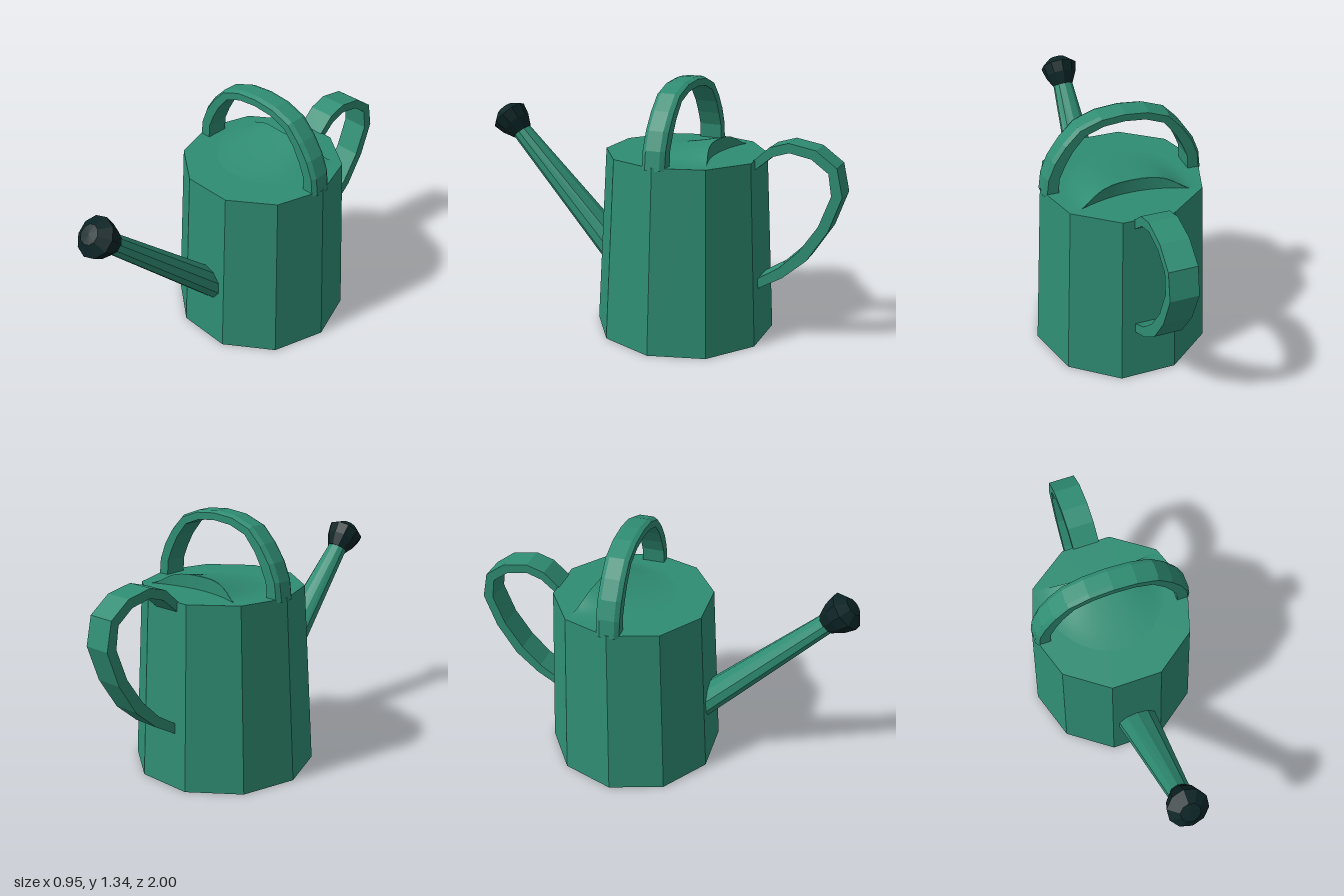
import * as THREE from 'three';

const green = new THREE.MeshStandardMaterial({ color: 0x2f8d73 });
green.name = 'canGreen';
const black = new THREE.MeshStandardMaterial({ color: 0x0c2426 });
black.name = 'roseBlack';

const BODY_Z = -0.16, TOP_Y = 0.955;

// Give a geometry one normal per face
function faceted(geometry) {
  const g = geometry.index ? geometry.toNonIndexed() : geometry;
  g.computeVertexNormals();
  return g;
}

function fromTriangles(points, index) {
  const g = new THREE.BufferGeometry();
  g.setAttribute('position', new THREE.Float32BufferAttribute(points.flat(), 3));
  g.setIndex(index);
  return g;
}

// Solid through closed cross-sections, with capped ends, facing outward
function loft(rings) {
  const n = rings[0].length, points = rings.flat(), index = [];
  for (let r = 0; r < rings.length - 1; r++) {
    for (let i = 0; i < n; i++) {
      const a = r * n + i, b = r * n + (i + 1) % n;
      index.push(a, b, a + n, b, b + n, a + n);
    }
  }
  const last = (rings.length - 1) * n;
  for (let i = 1; i < n - 1; i++) {
    index.push(0, i + 1, i, last, last + i, last + i + 1);
  }
  let volume = 0;
  for (let i = 0; i < index.length; i += 3) {
    const [a, b, c] = [0, 1, 2].map(k => new THREE.Vector3(...points[index[i + k]]));
    volume += a.dot(b.cross(c));
  }
  if (volume < 0) index.reverse();
  return faceted(fromTriangles(points, index));
}

// Open sheet from rows of points
function sheet(rows) {
  const n = rows[0].length, index = [];
  for (let r = 0; r < rows.length - 1; r++) {
    for (let i = 0; i < n - 1; i++) {
      const a = r * n + i;
      index.push(a, a + n, a + 1, a + 1, a + n, a + n + 1);
    }
  }
  const g = fromTriangles(rows.flat(), index);
  g.computeVertexNormals();
  return g;
}

export function createModel() {
  const model = new THREE.Group();
  model.name = 'wateringCan';
  const add = (name, geometry, material = green) => {
    const mesh = new THREE.Mesh(geometry, material);
    mesh.name = name;
    model.add(mesh);
    return mesh;
  };

  // Ten-sided tapering body
  const body = new THREE.CylinderGeometry(0.418, 0.475, TOP_Y, 10, 1, false, Math.PI / 2);
  body.translate(0, TOP_Y / 2, BODY_Z);
  add('body', faceted(body));

  // Smooth hood rising to the filling opening
  const steps = Array.from({ length: 25 }, (_, i) => i / 12 - 1);
  const rise = s => 0.07 * (1 - s ** 4) ** 2;
  const rim = s => [0.28 * s, TOP_Y + rise(s), -0.39 + 0.06 * (1 - s * s)];
  const hood = [];
  for (let j = 0; j <= 8; j++) {
    const u = j / 8;
    hood.push(steps.map(s => {
      const [x, , z] = rim(s);
      const baseZ = -0.39 + 0.45 * Math.sqrt(Math.max(0, 1 - s * s));
      return [
        THREE.MathUtils.lerp(x, 0.34 * s, u),
        TOP_Y + 0.001 + rise(s) * (1 - u) ** 1.4,
        THREE.MathUtils.lerp(z, baseZ, u),
      ];
    }));
  }
  add('hood', sheet(hood));
  add('hoodBack', sheet([
    steps.map(s => [rim(s)[0], TOP_Y, rim(s)[2]]),
    steps.map(rim),
  ]));

  // Carrying arch, mirrored half profile of [outer x, outer y, inner x, inner y]
  const half = [
    [0.415, 0.94, 0.34, 0.94], [0.402, 1.035, 0.333, 1.03], [0.365, 1.125, 0.302, 1.1],
    [0.305, 1.21, 0.262, 1.17], [0.23, 1.285, 0.198, 1.245], [0.12, 1.325, 0.105, 1.28],
  ];
  const arch = [
    ...half, [0, 1.336, 0, 1.29],
    ...half.slice().reverse().map(([a, b, c, d]) => [-a, b, -c, d]),
  ];
  add('topHandle', loft(arch.map(([ox, oy, ix, iy]) => {
    const ex = ox + (ix - ox) * 0.22, ey = oy + (iy - oy) * 0.22;
    return [
      [ix, iy, BODY_Z - 0.06], [ex, ey, BODY_Z - 0.06], [ox, oy, BODY_Z - 0.038],
      [ox, oy, BODY_Z + 0.038], [ex, ey, BODY_Z + 0.06], [ix, iy, BODY_Z + 0.06],
    ];
  })));

  // Rear handle, as [outer z, outer y, inner z, inner y]
  const rear = [
    [-0.53, 0.94, -0.53, 0.88], [-0.555, 0.96, -0.555, 0.905], [-0.63, 1.03, -0.648, 0.985],
    [-0.725, 1.06, -0.73, 1.012], [-0.86, 1.037, -0.84, 0.992], [-0.967, 0.96, -0.927, 0.93],
    [-1, 0.82, -0.946, 0.82], [-0.94, 0.64, -0.89, 0.66], [-0.84, 0.475, -0.8, 0.52],
    [-0.72, 0.365, -0.7, 0.415], [-0.595, 0.288, -0.592, 0.342], [-0.54, 0.255, -0.54, 0.31],
  ];
  add('rearHandle', loft(rear.map(([oz, oy, iz, iy]) => [
    [-0.07, oy, oz], [0.07, oy, oz], [0.07, iy, iz], [-0.07, iy, iz],
  ])));

  // Spout: ten-sided oval narrowing toward the tip
  const axis = new THREE.Vector3(0, 0.715, 0.7).normalize();
  const spoutRing = (y, z, rx, ry) => Array.from({ length: 10 }, (_, i) => {
    const t = i / 10 * Math.PI * 2, v = -Math.cos(t) * ry;
    return [Math.sin(t) * rx, y + v * axis.z, z - v * axis.y];
  });
  add('spout', loft([
    spoutRing(0.27, 0.17, 0.118, 0.08),
    spoutRing(0.985, 0.865, 0.055, 0.05),
  ]));

  // Sprinkler rose on the spout tip
  const profile = [[0, 0], [0.055, 0], [0.088, 0.065], [0.103, 0.125], [0.05, 0.168], [0, 0.172]]
    .map(([r, h]) => new THREE.Vector2(r, h));
  const rose = add('rose', faceted(new THREE.LatheGeometry(profile, 10)), black);
  rose.position.set(0, 0.96, 0.84);
  rose.quaternion.setFromUnitVectors(new THREE.Vector3(0, 1, 0), axis);

  return model;
}
